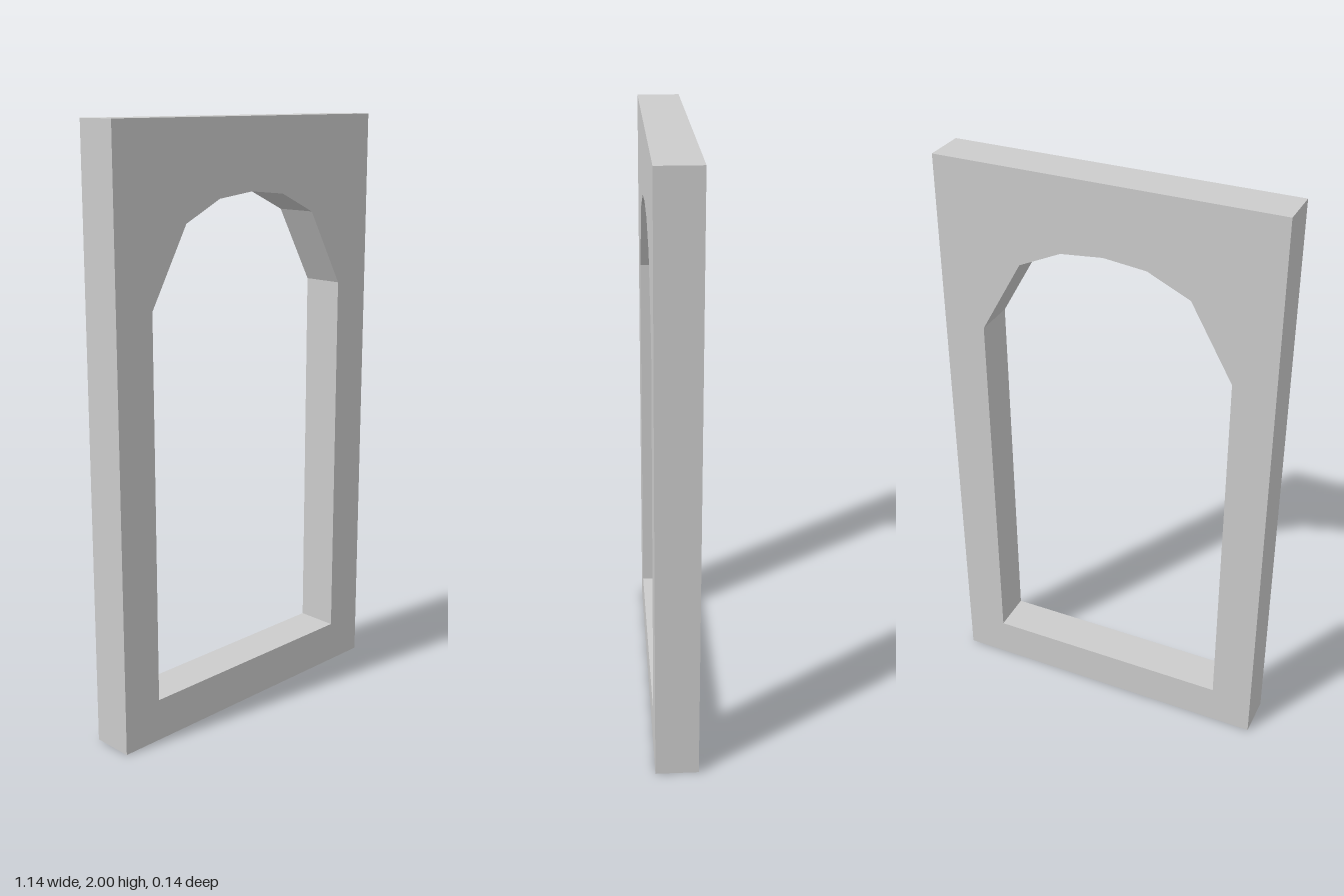
import * as THREE from 'three';

export function createModel() {
  const group = new THREE.Group();
  group.name = 'archedFrame';
  const depth = 0.143, halfWidth = 0.571, height = 2;

  // Rectangular outer outline
  const outline = new THREE.Shape([
    new THREE.Vector2(-halfWidth, 0),
    new THREE.Vector2(halfWidth, 0),
    new THREE.Vector2(halfWidth, height),
    new THREE.Vector2(-halfWidth, height),
  ]);

  // Arched opening: one side from sill to crown, mirrored for the other
  const side = [[0.429, 0.143], [0.429, 1.43], [0.286, 1.684], [0.143, 1.751]];
  const opening = [
    ...side.map(([x, y]) => new THREE.Vector2(x, y)),
    new THREE.Vector2(0, 1.766),
    ...side.map(([x, y]) => new THREE.Vector2(-x, y)).reverse(),
  ];
  outline.holes.push(new THREE.Path(opening));

  // Frame extruded through its thickness, centred on z
  const geometry = new THREE.ExtrudeGeometry(outline, { depth, bevelEnabled: false });
  geometry.translate(0, 0, -depth / 2);
  const frame = new THREE.Mesh(
    geometry,
    new THREE.MeshStandardMaterial({ color: 0xcccccc, flatShading: true })
  );
  frame.name = 'frame';
  group.add(frame);
  return group;
}
